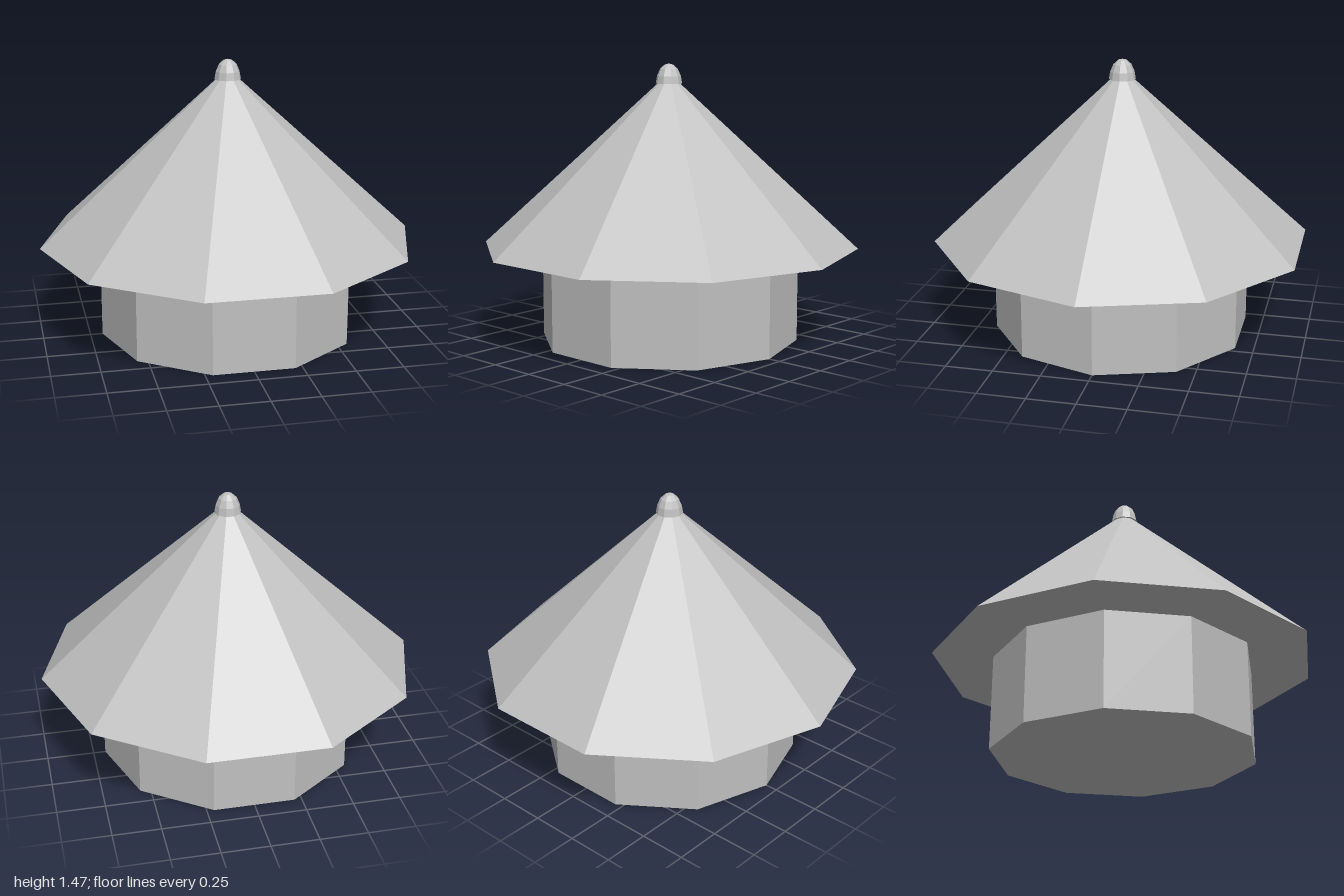
import * as THREE from 'three';

const SIDES = 10;

export function createModel() {
  const group = new THREE.Group();
  const stone = new THREE.MeshStandardMaterial({ color: 0xc0c0c0, flatShading: true });
  stone.name = 'light grey';

  // Ten-sided part with corners on the x axis
  const add = (name, geometry, y = 0) => {
    const mesh = new THREE.Mesh(geometry, stone);
    mesh.name = name;
    mesh.position.y = y;
    mesh.rotation.y = Math.PI / 2;
    group.add(mesh);
  };

  // Round wall and wide conical roof
  add('wall', new THREE.CylinderGeometry(0.686, 0.686, 0.5, SIDES), 0.25);
  add('roof', new THREE.ConeGeometry(1, 0.915, SIDES), 0.5 + 0.915 / 2);

  // Domed finial with a closed underside
  const profile = [[0, 1.36], [0.07, 1.36], [0.063, 1.4], [0.047, 1.437], [0.023, 1.459], [0, 1.465]]
    .map(([r, y]) => new THREE.Vector2(r, y));
  add('finial', new THREE.LatheGeometry(profile, SIDES));

  return group;
}
